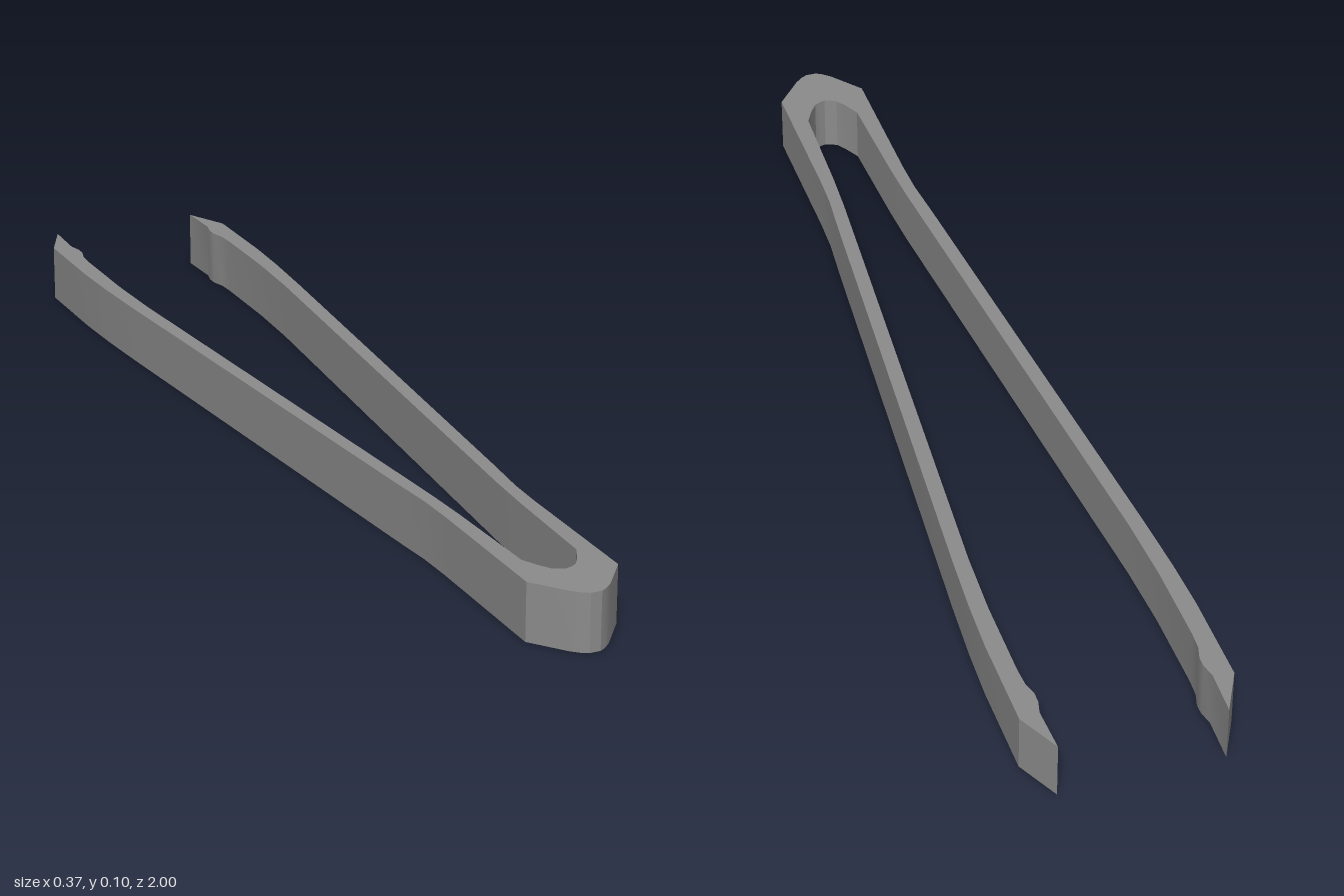
import * as THREE from 'three';
import { toCreasedNormals } from 'three/addons/utils/BufferGeometryUtils.js';

const HEIGHT = 0.105;

// Half outlines as [x, z], both running from the bend to the tip.
const outer = [
  [0.01, 1], [0.022, 0.993], [0.036, 0.98], [0.083, 0.92], [0.083, 0.63],
  [0.085, 0.56], [0.094, 0.46], [0.172, -0.52], [0.18, -0.64], [0.184, -0.74], [0.184, -0.92],
];
const inner = [
  [0.01, 0.897], [0.022, 0.89], [0.034, 0.872], [0.05, 0.84], [0.057, 0.63],
  [0.062, 0.54], [0.144, -0.52], [0.15, -0.65], [0.151, -0.81],
  [0.149, -0.845], [0.142, -0.87], [0.142, -0.89], [0.148, -0.915], [0.145, -1],
];

export function createModel() {
  const group = new THREE.Group();
  group.name = 'tweezers';
  const steel = new THREE.MeshStandardMaterial({ color: 0x8c8c8c });
  steel.name = 'grey steel';

  // Left arm out to the tip and back to the bend, then the mirrored right arm.
  const mirror = (pts) => pts.map(([x, z]) => [-x, z]);
  const outline = [
    [0, 1], ...outer, ...[...inner].reverse(),
    [0, 0.9], ...mirror(inner), ...mirror(outer).reverse(),
  ];
  const shape = new THREE.Shape(outline.map(([x, z]) => new THREE.Vector2(x, -z)));

  // Extrude upwards, softening only the gentle bends.
  const flat = new THREE.ExtrudeGeometry(shape, { depth: HEIGHT, bevelEnabled: false });
  flat.rotateX(-Math.PI / 2);
  const body = new THREE.Mesh(toCreasedNormals(flat, 0.4), steel);
  body.name = 'sprungArms';
  group.add(body);
  return group;
}
